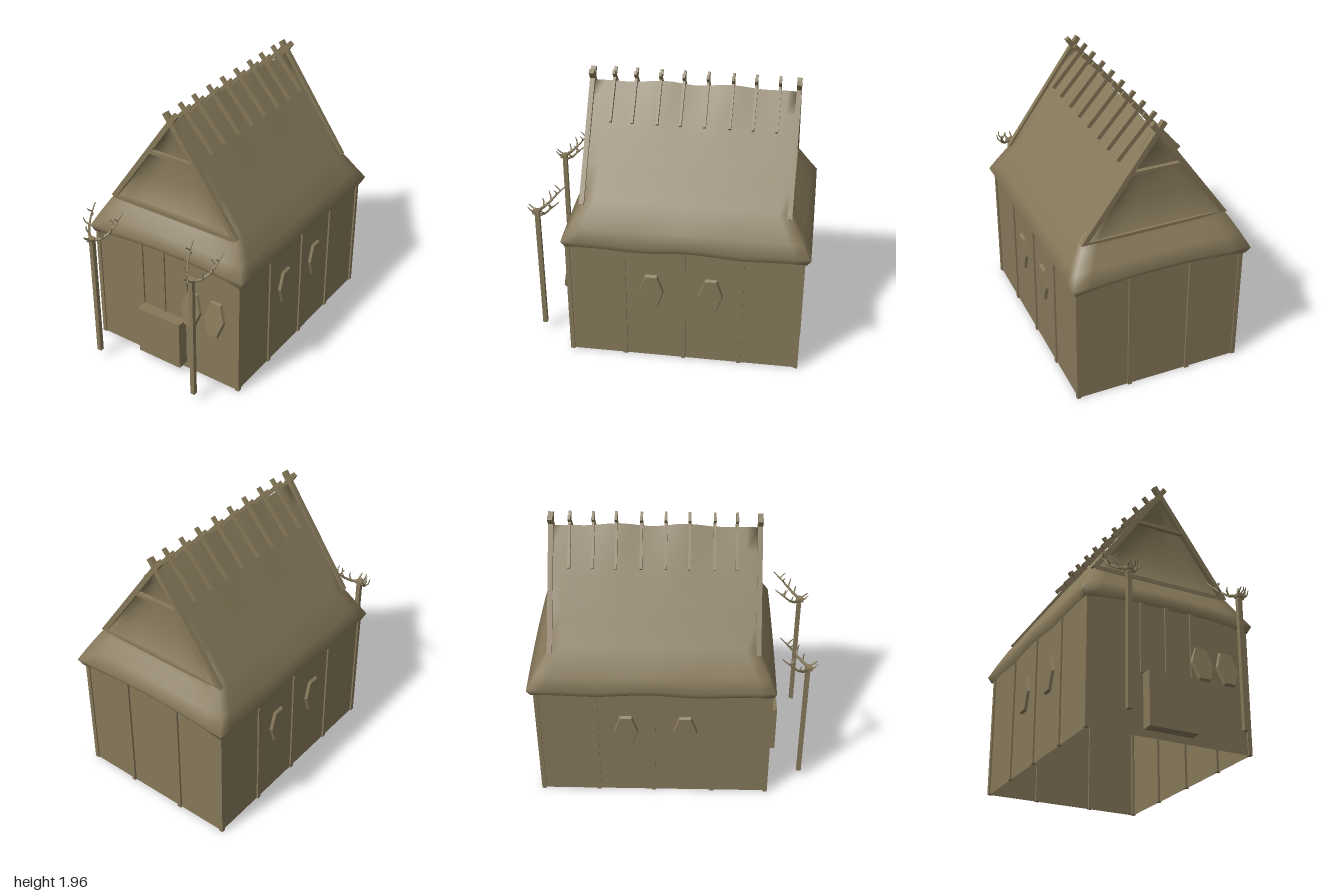
import * as THREE from 'three';
import { toCreasedNormals } from 'three/addons/utils/BufferGeometryUtils.js';

const wood = new THREE.MeshStandardMaterial({ color: 0x857759, side: THREE.DoubleSide });
wood.name = 'weathered wood';

const V = (x, y, z) => new THREE.Vector3(x, y, z);
const UP = V(0, 1, 0);

function add(parent, name, geometry, x = 0, y = 0, z = 0) {
  const mesh = new THREE.Mesh(geometry, wood);
  mesh.name = name;
  mesh.position.set(x, y, z);
  parent.add(mesh);
  return mesh;
}

function box(parent, name, x0, x1, y0, y1, z0, z1) {
  return add(parent, name, new THREE.BoxGeometry(x1 - x0, y1 - y0, z1 - z0),
    (x0 + x1) / 2, (y0 + y1) / 2, (z0 + z1) / 2);
}

// Square beam running between two points
function beam(parent, name, a, b, width, depth) {
  const d = b.clone().sub(a);
  const mesh = add(parent, name, new THREE.BoxGeometry(width, d.length(), depth));
  mesh.position.copy(a).add(b).multiplyScalar(0.5);
  mesh.quaternion.setFromUnitVectors(UP, d.normalize());
  return mesh;
}

// Chain of tapering segments through points
function horn(parent, name, points, r0, r1) {
  const n = points.length - 1;
  const radius = (i) => r0 + (r1 - r0) * i / n;
  for (let i = 0; i < n; i++) {
    const d = points[i + 1].clone().sub(points[i]);
    const mesh = add(parent, name, new THREE.CylinderGeometry(radius(i + 1), radius(i), d.length() * 1.06, 6));
    mesh.position.copy(points[i]).add(points[i + 1]).multiplyScalar(0.5);
    mesh.quaternion.setFromUnitVectors(UP, d.normalize());
  }
}

// Thatch: rings stacked from the eaves to the ridge, gable ends dished inwards
function roofGeometry() {
  // half width, height, front z, back z, gable recess, eave wave
  const levels = [
    [0.60, 0.92, 0.68, -0.94, 0, 1],
    [0.62, 0.89, 0.695, -0.965, 0, 1],
    [0.645, 0.94, 0.715, -0.99, 0, 0.8],
    [0.60, 1.03, 0.665, -0.93, 0, 0.4],
    [0.53, 1.15, 0.605, -0.86, 0, 0],
    [0.49, 1.20, 0.58, -0.835, 0.02, 0],
    [0.35, 1.40, 0.575, -0.83, 0.05, 0],
    [0.20, 1.60, 0.575, -0.83, 0.07, 0],
    [0.10, 1.74, 0.575, -0.83, 0.04, 0],
    [0.00, 1.87, 0.575, -0.83, 0, 0],
  ];
  const E = 10, S = 18, ring = 2 * (E + S);
  const pos = [], index = [];
  levels.forEach(([h, y, zf, zb, recess, wave], level) => {
    const ridge = Math.max(0, level - 7) / 2;
    for (let i = 0; i < ring; i++) {
      const back = i >= E + S;
      const k = back ? i - E - S : i;
      const flip = back ? -1 : 1;
      if (k < E) {
        const u = 2 * k / E - 1;
        const dish = recess * (1 - u ** 4);
        pos.push(h * u * flip, y + wave * 0.045 * (1 - u * u), back ? zb + dish : zf - dish);
      } else {
        const t = (k - E) / S;
        const z = back ? zb + (zf - zb) * t : zf + (zb - zf) * t;
        const fade = Math.sin(Math.PI * t);
        pos.push(h * flip, y + wave * 0.012 * Math.sin(z * 8 + 3) * fade
          + ridge * 0.012 * (1 + Math.sin(z * 13 + 0.3)) * fade, z);
      }
    }
  });
  for (let j = 0; j < levels.length - 1; j++) {
    for (let i = 0; i < ring; i++) {
      const a = j * ring + i, b = j * ring + (i + 1) % ring;
      index.push(a, b, b + ring, a, b + ring, a + ring);
    }
  }
  const g = new THREE.BufferGeometry();
  g.setAttribute('position', new THREE.Float32BufferAttribute(pos, 3));
  g.setIndex(index);
  return toCreasedNormals(g, 1.75);
}

// Six-sided shield facing +z
function shield(parent, name, x, y, z) {
  const g = new THREE.CylinderGeometry(0.92, 1, 0.02, 6);
  g.rotateY(Math.PI / 6).rotateX(Math.PI / 2).scale(0.086, 0.152, 1);
  return add(parent, name, toCreasedNormals(g, 0.3), x, y, z);
}

function antlerPole(x) {
  const g = new THREE.Group();
  g.name = 'antlerPole';
  g.position.set(x, 0, 0.935);
  box(g, 'pole', -0.016, 0.016, 0.06, 1.02, -0.016, 0.016);
  box(g, 'skull', -0.025, 0.025, 1.005, 1.03, -0.02, 0.03);
  for (const s of [-1, 1]) {
    const p = (a, b, c) => V(s * a, b, c);
    horn(g, 'antler', [p(0.01, 1.015, 0), p(0.055, 1.025, -0.035), p(0.09, 1.06, -0.08),
      p(0.108, 1.11, -0.125), p(0.122, 1.175, -0.19)], 0.012, 0.004);
    horn(g, 'browTine', [p(0.015, 1.02, 0.01), p(0.022, 1.035, 0.04), p(0.018, 1.06, 0.062)], 0.009, 0.003);
    horn(g, 'lowerTine', [p(0.055, 1.025, -0.035), p(0.075, 1.06, -0.03), p(0.07, 1.085, -0.025)], 0.007, 0.003);
    horn(g, 'middleTine', [p(0.09, 1.06, -0.08), p(0.117, 1.085, -0.07), p(0.122, 1.12, -0.06)], 0.007, 0.003);
    horn(g, 'upperTine', [p(0.105, 1.105, -0.12), p(0.085, 1.13, -0.12), p(0.075, 1.15, -0.11)], 0.006, 0.003);
    horn(g, 'tipTine', [p(0.112, 1.13, -0.145), p(0.125, 1.15, -0.12), p(0.12, 1.17, -0.105)], 0.006, 0.003);
  }
  return g;
}

export function createModel() {
  const house = new THREE.Group();
  house.name = 'thatchedHall';

  // Walls, open underneath
  const wall = (name, width, x, z, turn) => {
    add(house, name, new THREE.PlaneGeometry(width, 0.93), x, 0.465, z).rotation.y = turn;
  };
  wall('frontWall', 1.2, 0, 0.685, 0);
  wall('backWall', 1.2, 0, -0.94, Math.PI);
  wall('leftWall', 1.625, 0.6, -0.1275, Math.PI / 2);
  wall('rightWall', 1.625, -0.6, -0.1275, -Math.PI / 2);

  // Wall posts
  for (const s of [-1, 1]) {
    for (const z of [0.68, 0.29, -0.13, -0.53, -0.935]) {
      box(house, 'sidePost', s * 0.597 - 0.015, s * 0.597 + 0.015, 0, 0.92, z - 0.015, z + 0.015);
    }
    box(house, 'backPost', s * 0.22 - 0.015, s * 0.22 + 0.015, 0, 0.94, -0.955, -0.925);
  }

  // Doorway: porch block and upright bars
  box(house, 'porchBlock', -0.2, 0.16, 0.05, 0.43, 0.68, 0.77);
  for (const x of [-0.21, -0.022, 0.17]) {
    box(house, 'doorBar', x - 0.013, x + 0.013, 0.43, 0.94, 0.672, 0.698);
  }

  // Shields leaning on the front and hanging on the sides
  for (const x of [0.23, 0.425]) shield(house, 'frontShield', x, 0.57, 0.72).rotation.x = -0.2;
  for (const s of [-1, 1]) {
    for (const z of [0.095, -0.32]) {
      shield(house, 'sideShield', s * 0.61, 0.565, z).rotation.y = s * Math.PI / 2;
    }
  }

  add(house, 'thatchRoof', roofGeometry());

  // Gable frames
  for (const z of [0.585, -0.828]) {
    for (const s of [-1, 1]) {
      beam(house, 'bargeBoard', V(s * 0.51, 1.17, z), V(-s * 0.042, 1.95, z), 0.036, 0.034);
    }
    box(house, 'lowerGableBeam', -0.5, 0.5, 1.16, 1.19, z - 0.015, z + 0.015);
    box(house, 'upperGableBeam', -0.2, 0.2, 1.612, 1.638, z - 0.015, z + 0.015);
  }

  // Crossed sticks along the ridge
  for (const z of [0.43, 0.28, 0.11, -0.05, -0.215, -0.385, -0.54, -0.7]) {
    for (const s of [-1, 1]) {
      beam(house, 'ridgeStick', V(s * 0.215, 1.66, z), V(-s * 0.042, 1.955, z), 0.03, 0.018);
    }
  }

  house.add(antlerPole(-0.435), antlerPole(0.4));
  return house;
}
